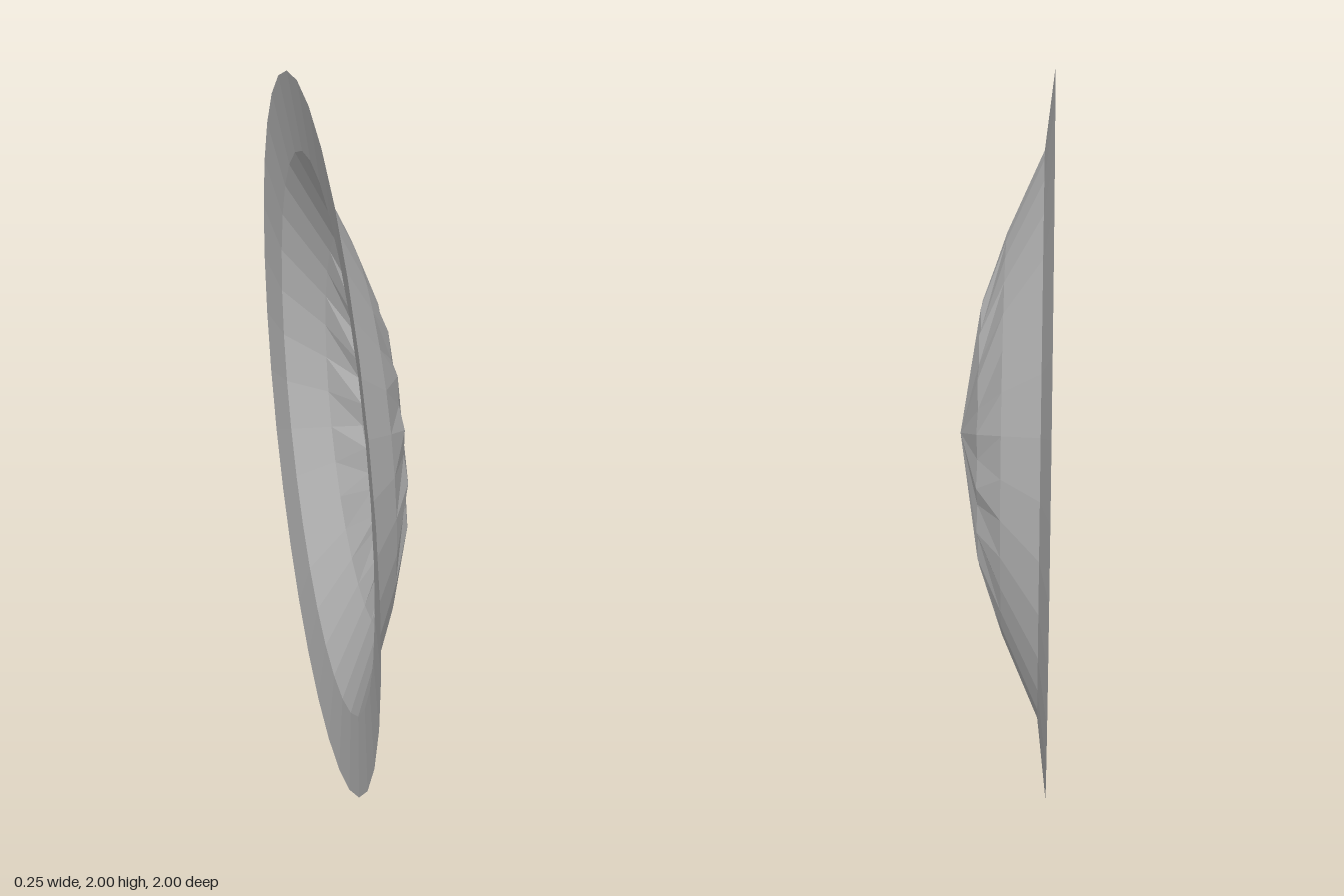
import * as THREE from 'three';

const SEGMENTS = 32;

// Half profile of the dish: [radius, height along the axis], rim to apex
const PROFILE = [[1, -0.125], [0.785, -0.1], [0.56, 0], [0.37, 0.068], [0, 0.125]];
const FLUTED_RING = 3;

export function createModel() {
  const group = new THREE.Group();
  group.name = 'dish';

  const points = PROFILE.map(([r, h]) => new THREE.Vector2(r, h));
  const geometry = new THREE.LatheGeometry(points, SEGMENTS);

  // Pull every second vertex of the inner ring in and down for the star-shaped crease
  const position = geometry.attributes.position;
  for (let i = 0; i <= SEGMENTS; i += 2) {
    const k = i * PROFILE.length + FLUTED_RING;
    const angle = (i / SEGMENTS) * Math.PI * 2;
    position.setXYZ(k, 0.335 * Math.sin(angle), 0.066, 0.335 * Math.cos(angle));
  }

  // Stand the dish on its rim, bulging towards +x
  geometry.rotateZ(-Math.PI / 2);
  geometry.translate(0, 1, 0);
  geometry.computeVertexNormals();

  const material = new THREE.MeshStandardMaterial({
    color: 0xcccccc, flatShading: true, side: THREE.DoubleSide,
  });
  const shell = new THREE.Mesh(geometry, material);
  shell.name = 'dishShell';
  group.add(shell);
  return group;
}
